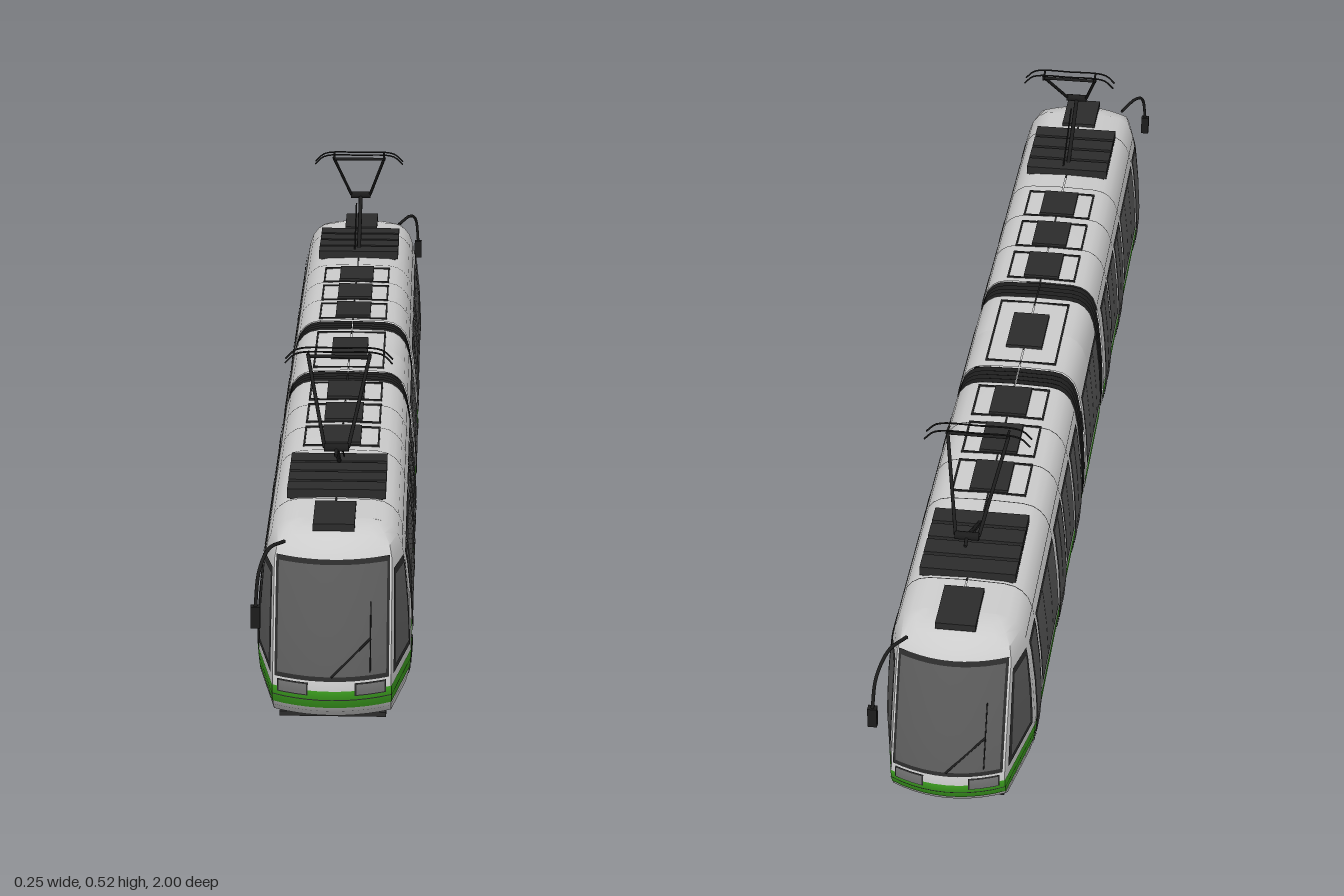
import * as THREE from 'three';
import { toCreasedNormals } from 'three/addons/utils/BufferGeometryUtils.js';

const mat = (color) => new THREE.MeshStandardMaterial({ color, side: THREE.DoubleSide });
const paint = mat(0xcccccc), green = mat(0x3a9a1e), glass = mat(0x595959),
  trim = mat(0x2b2b2b), black = mat(0x1c1c1c), lamp = mat(0x707070);

// Hull rows: height, half width, nose reach
const ROWS = [
  [0.013, 0.001, 0.93], [0.015, 0.1, 0.93], [0.027, 0.115, 0.962], [0.045, 0.12, 0.985], [0.07, 0.122, 0.998],
  [0.085, 0.123, 1], [0.11, 0.123, 0.993], [0.17, 0.12, 0.966], [0.23, 0.114, 0.937], [0.265, 0.108, 0.917],
  [0.285, 0.101, 0.902], [0.298, 0.091, 0.886], [0.306, 0.079, 0.868], [0.31, 0.062, 0.852], [0.312, 0.001, 0.84],
];
const KNOTS = [0.83, 1, 1.1, 1.2, 1.3, 1.4, 1.5, 1.6, 1.7, 1.8, 1.9, 2, 2.17];

function row(y) {
  let i = 1;
  while (i < ROWS.length - 1 && y > ROWS[i][0]) i++;
  const a = ROWS[i - 1], b = ROWS[i];
  const k = THREE.MathUtils.clamp((y - a[0]) / (b[0] - a[0]), 0, 1);
  return [a[1] + (b[1] - a[1]) * k, a[2] + (b[2] - a[2]) * k];
}

// Point on the hull: t runs along the left side (t = z), round the tapered nose
// (0.83..1), across the front (1..2) and back along the right side
function hull(t, y) {
  const [w, reach] = row(y);
  const right = t > 1.5, u = right ? 3 - t : t;
  const c = Math.min(0.093, 0.88 * w), corner = reach - 0.025;
  let x = w, z = u;
  if (u > 1) {
    const k = (1.5 - u) / 0.5;
    x = c * k;
    z = reach - 0.025 * k * k;
  } else if (u > 0.83) {
    const k = (u - 0.83) / 0.17;
    x = w + (c - w) * k;
    z = 0.83 + (corner - 0.83) * k;
  }
  return new THREE.Vector3(right ? -x : x, y, z);
}

function offsetPoint(t, y, d) {
  const e = 1e-4, p = hull(t, y);
  if (!d) return p;
  const dt = hull(t + e, y).sub(hull(t - e, y)), dy = hull(t, y + e).sub(hull(t, y - e));
  return p.addScaledVector(dy.cross(dt).normalize(), d);
}

const steps = (a, b, knots, n = 1) => {
  const s = knots.filter((k) => k > a + 1e-4 && k < b - 1e-4);
  for (let i = 0; i <= n; i++) s.push(a + ((b - a) * i) / n);
  return s.sort((p, q) => p - q);
};

function add(group, name, geometry, material, x = 0, y = 0, z = 0) {
  const m = new THREE.Mesh(geometry, material);
  m.name = name;
  m.position.set(x, y, z);
  group.add(m);
  return m;
}

// Piece of hull surface between two t and two heights, raised by d
function patch(group, name, material, t0, t1, y0, y1, d = 0, n = 1) {
  const ts = steps(t0, t1, KNOTS, n), ys = steps(y0, y1, ROWS.map((r) => r[0]));
  const pos = [], idx = [], W = ts.length;
  ys.forEach((y) => ts.forEach((t, i) => pos.push(...offsetPoint(t, y, typeof d === 'function' ? d(i) : d).toArray())));
  for (let j = 0; j < ys.length - 1; j++) {
    for (let i = 0; i < W - 1; i++) {
      const a = j * W + i;
      idx.push(a, a + W + 1, a + 1, a, a + W, a + W + 1);
    }
  }
  const g = new THREE.BufferGeometry();
  g.setAttribute('position', new THREE.Float32BufferAttribute(pos, 3));
  g.setIndex(idx);
  add(group, name, toCreasedNormals(g, 0.6), material);
}

// Same patch on both sides
function both(group, name, material, t0, t1, ...rest) {
  patch(group, name, material, t0, t1, ...rest);
  patch(group, name, material, 3 - t1, 3 - t0, ...rest);
}

const box = (g, name, m, w, h, d, x, y, z) => add(g, name, new THREE.BoxGeometry(w, h, d), m, x, y, z);

function bar(group, name, a, b, r, material = black) {
  const p = new THREE.Vector3(...a), q = new THREE.Vector3(...b), dir = q.clone().sub(p);
  const m = add(group, name, new THREE.CylinderGeometry(r, r, dir.length(), 8), material);
  m.position.copy(p).add(q).multiplyScalar(0.5);
  m.quaternion.setFromUnitVectors(new THREE.Vector3(0, 1, 0), dir.normalize());
}

function hatch(group, z, len, frameLen) {
  for (const s of [-1, 1]) {
    box(group, 'hatchFrame', trim, 0.003, 0.004, frameLen, s * 0.063, 0.311, z);
    box(group, 'hatchFrame', trim, 0.129, 0.004, 0.003, 0, 0.311, z + (s * frameLen) / 2);
  }
  box(group, 'roofHatch', trim, 0.066, 0.01, len, 0, 0.312, z);
}

function bogie(group, z) {
  box(group, 'bogieFrame', black, 0.176, 0.01, 0.17, 0, 0.011, z);
  for (const dz of [-0.068, -0.027, 0.027, 0.068]) {
    for (const s of [-1, 1]) {
      const w = add(group, 'wheel', new THREE.CylinderGeometry(0.012, 0.012, 0.014, 16), black, s * 0.081, 0.012, z + dz);
      w.rotation.z = Math.PI / 2;
    }
  }
}

function pantograph() {
  const g = new THREE.Group();
  g.name = 'pantograph';
  bar(g, 'lowerArm', [0, 0.322, 0.605], [0, 0.395, 0.742], 0.004);
  bar(g, 'controlRod', [0.008, 0.322, 0.585], [0.008, 0.386, 0.715], 0.0015);
  bar(g, 'elbow', [-0.02, 0.397, 0.742], [0.02, 0.397, 0.742], 0.007);
  bar(g, 'elbowSpur', [0, 0.397, 0.742], [0, 0.39, 0.762], 0.003);
  for (const s of [-1, 1]) {
    bar(g, 'upperArm', [s * 0.019, 0.397, 0.742], [s * 0.051, 0.511, 0.612], 0.003);
    const strip = new THREE.CatmullRomCurve3([[-0.088, 0.5], [-0.07, 0.516], [0, 0.519], [0.07, 0.516], [0.088, 0.5]]
      .map(([x, y]) => new THREE.Vector3(x, y, 0.614 + s * 0.011)));
    add(g, 'contactStrip', new THREE.TubeGeometry(strip, 24, 0.0015, 6), black);
    bar(g, 'headLink', [s * 0.05, 0.511, 0.6], [s * 0.05, 0.517, 0.628], 0.002);
  }
  bar(g, 'headBar', [-0.053, 0.508, 0.614], [0.053, 0.508, 0.614], 0.003);
  return g;
}

function halfTram() {
  const g = new THREE.Group();
  g.name = 'halfTram';

  // Car shells and bellows
  patch(g, 'carBody', paint, 0.172, 2.828, 0.013, 0.312);
  both(g, 'middleCarBody', paint, 0, 0.118, 0.013, 0.312);
  both(g, 'bellows', black, 0.114, 0.176, 0.013, 0.312, (i) => (i % 2 ? -0.001 : -0.005), 10);

  // Stripe and panel seams
  patch(g, 'stripe', green, 0.172, 2.828, 0.054, 0.086, 0.001);
  both(g, 'middleStripe', green, 0, 0.118, 0.054, 0.086, 0.001);
  patch(g, 'noseSeam', trim, 0.83, 2.17, 0.07, 0.0715, 0.0015);
  both(g, 'roofSeam', trim, 0.18, 0.83, 0.266, 0.2675, 0.0006);
  for (const z of [0.3, 0.413, 0.527, 0.75]) both(g, 'panelSeam', trim, z - 0.001, z + 0.001, 0.25, 0.312, 0.0007);

  // Side windows, with pillars between panes
  for (const [a, b, panes] of [[0.302, 0.41, 2], [0.53, 0.742, 3]]) {
    both(g, 'windowFrame', trim, a, b, 0.098, 0.248, 0.0015);
    const w = (b - a - 0.008) / panes;
    for (let i = 0; i < panes; i++) {
      both(g, 'windowPane', glass, a + 0.005 + i * w, a + 0.003 + (i + 1) * w, 0.105, 0.241, 0.0025);
    }
  }
  both(g, 'middleWindowFrame', trim, 0, 0.108, 0.098, 0.248, 0.0015);
  both(g, 'middleWindowPane', glass, 0.001, 0.05, 0.105, 0.241, 0.0025);
  both(g, 'middleWindowPane', glass, 0.052, 0.102, 0.105, 0.241, 0.0025);

  // Doors: one single, two double
  for (const [a, b, leaves] of [[0.193, 0.292, 2], [0.421, 0.515, 2], [0.755, 0.82, 1]]) {
    both(g, 'doorFrame', trim, a, b, 0.034, 0.25, 0.002);
    const w = (b - a - 0.012) / leaves;
    for (let i = 0; i < leaves; i++) {
      both(g, 'doorGlass', glass, a + 0.008 + i * w, a + 0.004 + (i + 1) * w, 0.046, 0.242, 0.003);
    }
  }

  // Cab glazing, lamps and wiper
  both(g, 'cabSideFrame', trim, 0.846, 0.985, 0.1, 0.252, 0.0015);
  both(g, 'cabSideGlass', glass, 0.858, 0.97, 0.11, 0.242, 0.0025);
  patch(g, 'windscreenFrame', trim, 1.02, 1.98, 0.101, 0.272, 0.0015);
  patch(g, 'windscreen', glass, 1.045, 1.955, 0.108, 0.265, 0.0025);
  both(g, 'headlampFrame', trim, 1.045, 1.305, 0.078, 0.098, 0.002);
  both(g, 'headlamp', lamp, 1.058, 1.292, 0.0805, 0.0955, 0.003);
  const wiper = (t, y) => offsetPoint(t, y, 0.004).toArray();
  bar(g, 'wiperArm', wiper(1.5, 0.108), wiper(1.18, 0.16), 0.0018);
  bar(g, 'wiperBlade', wiper(1.18, 0.112), wiper(1.18, 0.212), 0.0009);
  for (const s of [-1, 1]) add(g, 'indicator', new THREE.SphereGeometry(0.003, 8, 6), trim, s * 0.123, 0.094, 0.8);

  // Mirror on a curved stalk
  const stalk = new THREE.CatmullRomCurve3([[-0.078, 0.292, 0.885], [-0.1, 0.297, 0.93], [-0.113, 0.275, 0.972], [-0.118, 0.222, 0.988]]
    .map((p) => new THREE.Vector3(...p)));
  add(g, 'mirrorStalk', new THREE.TubeGeometry(stalk, 20, 0.003, 8), black);
  box(g, 'mirror', black, 0.015, 0.036, 0.012, -0.118, 0.207, 0.987);

  // Roof equipment
  box(g, 'equipmentBase', black, 0.15, 0.014, 0.165, 0, 0.311, 0.66);
  for (let i = 0; i < 4; i++) box(g, 'equipmentBox', trim, 0.16, 0.016, 0.036, 0, 0.317, 0.595 + i * 0.0433);
  box(g, 'cabHatch', trim, 0.066, 0.012, 0.1, 0, 0.312, 0.825);
  for (const z of [0.23, 0.345, 0.46]) hatch(g, z, 0.085, 0.09);
  g.add(pantograph());

  // Running gear and nose skirt
  bogie(g, 0.633);
  box(g, 'noseSkirt', trim, 0.17, 0.008, 0.05, 0, 0.012, 0.9);
  return g;
}

export function createModel() {
  const model = new THREE.Group();
  model.name = 'tram';
  const front = halfTram(), back = halfTram();
  front.name = 'frontHalf';
  back.name = 'backHalf';
  back.rotation.y = Math.PI;
  model.add(front, back);
  hatch(model, 0, 0.11, 0.2);
  bogie(model, 0);
  return model;
}
